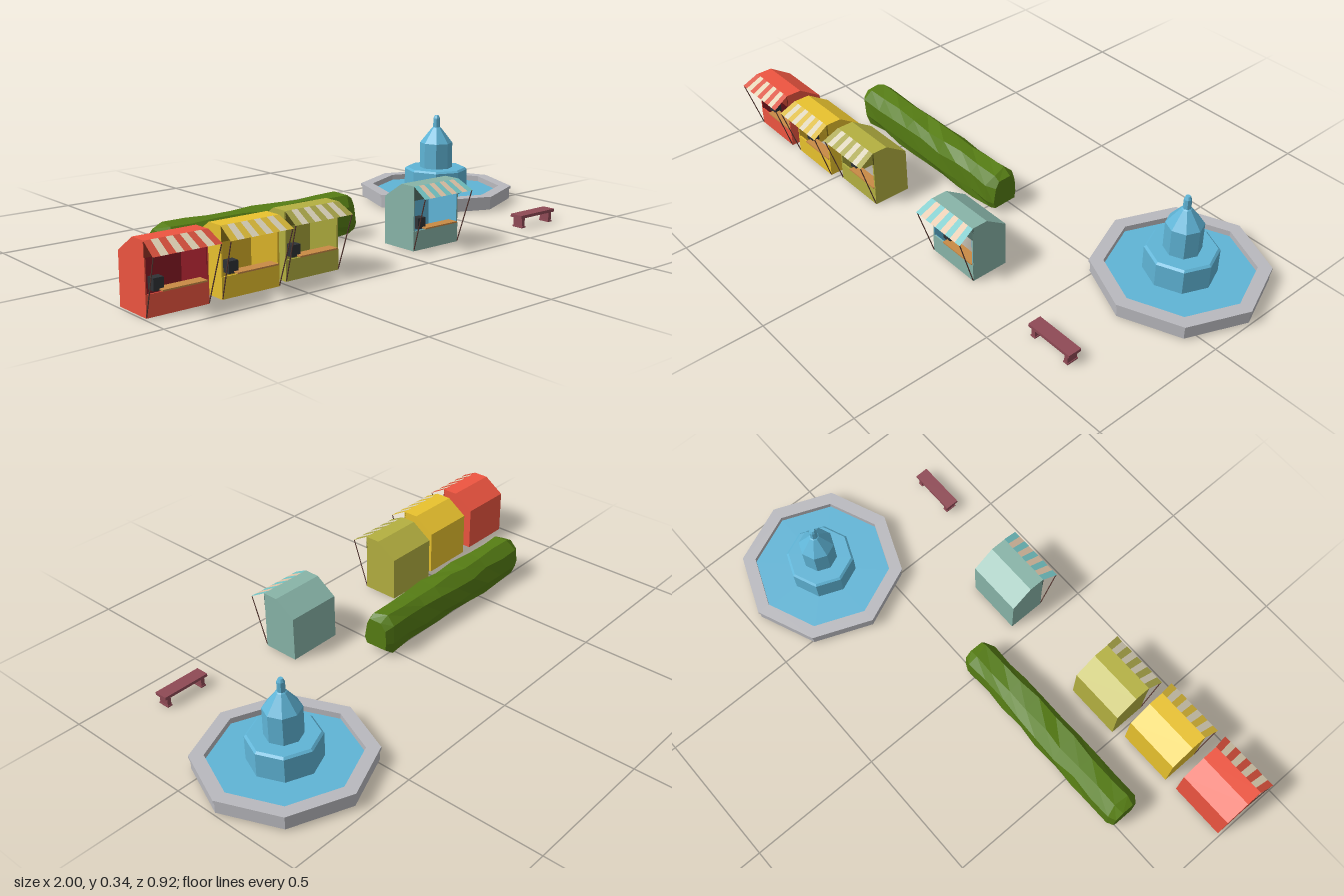
import * as THREE from 'three';

const mat = (color, double = false) => new THREE.MeshStandardMaterial({
  color, flatShading: true, side: double ? THREE.DoubleSide : THREE.FrontSide });

function add(parent, name, geometry, material, x = 0, y = 0, z = 0) {
  const mesh = new THREE.Mesh(geometry, material);
  mesh.name = name;
  mesh.position.set(x, y, z);
  parent.add(mesh);
  return mesh;
}

const box = (w, h, d) => new THREE.BoxGeometry(w, h, d);

// Extrudes a (z, y) outline along x, centred on x = 0
function extrudeX(points, width) {
  const shape = new THREE.Shape(points.map(p => new THREE.Vector2(...p)));
  return new THREE.ExtrudeGeometry(shape, { depth: width, bevelEnabled: false })
    .rotateY(-Math.PI / 2).translate(width / 2, 0, 0);
}

// Side outline of a stall, from roof front to back foot, moved inward by i
const outline = i => [[0, 0.222 - i], [-0.06, 0.222 - i], [-0.14 + i, 0.168 - 0.6 * i], [-0.14 + i, 0]];

// One layer of roof, back and side walls, open at the front and the bottom
function shell(parent, name, width, from, to, material) {
  add(parent, name + 'RoofAndBack', extrudeX([...outline(from), ...outline(to).reverse()], width - 2 * from), material);
  for (const s of [-1, 1]) {
    add(parent, name + 'Side', extrudeX([[0, 0], ...outline(from)], to - from), material,
      s * (width / 2 - (from + to) / 2));
  }
}

function makeStall(x, zFront, body, inside, front, stripe, pale) {
  const stall = new THREE.Group();
  stall.name = 'marketStall';
  stall.position.set(x, 0, zFront);
  const w = 0.21;
  const outer = mat(body), inner = mat(inside), wood = mat(0x5a3a34);
  shell(stall, 'outer', w, 0, 0.004, outer);
  shell(stall, 'lining', w, 0.004, 0.006, inner);
  add(stall, 'frontPanel', box(w, 0.068, 0.004), mat(front), 0, 0.034, -0.001);
  add(stall, 'frontPanelLining', box(w - 0.012, 0.068, 0.002), inner, 0, 0.034, -0.004);
  const shade = new THREE.Color(body).multiplyScalar(0.35);
  add(stall, 'header', box(w, 0.045, 0.005), mat(shade), 0, 0.196, -0.001);
  add(stall, 'counter', box(0.15, 0.005, 0.04), mat(0xc98a45), 0.025, 0.07, -0.016);
  add(stall, 'cashBox', box(0.034, 0.038, 0.03), mat(0x2f3236), -0.052, 0.086, -0.03);

  // Striped awning, flaring toward its front edge
  const count = 9, stripes = [mat(stripe, true), mat(pale, true)];
  for (let i = 0; i < count; i++) {
    const a = i / count - 0.5, b = (i + 1) / count - 0.5;
    const p = (t, out) => out ? [t * 0.228, 0.189, 0.061] : [t * 0.212, 0.222, 0];
    const g = new THREE.BufferGeometry();
    g.setAttribute('position', new THREE.Float32BufferAttribute(
      [p(a, 0), p(a, 1), p(b, 1), p(a, 0), p(b, 1), p(b, 0)].flat(), 3));
    g.computeVertexNormals();
    add(stall, 'awningStripe', g, stripes[i % 2]);
  }

  // Slanted awning poles
  for (const s of [-1, 1]) {
    const path = new THREE.LineCurve3(
      new THREE.Vector3(s * 0.104, 0.004, 0.002), new THREE.Vector3(s * 0.111, 0.189, 0.059));
    add(stall, 'awningPole', new THREE.TubeGeometry(path, 1, 0.002, 5), wood);
  }
  return stall;
}

function makeHedge() {
  let seed = 7;
  const rand = () => (seed = (seed * 16807) % 2147483647) / 2147483647 - 0.5;
  const section = [[0.05, 0.008], [0.062, 0.045], [0.06, 0.115], [0.035, 0.15],
    [-0.02, 0.152], [-0.056, 0.118], [-0.058, 0.05], [-0.046, 0.01]];
  const n = 11, rings = [];
  for (let i = 0; i < n; i++) {
    const end = i === 0 || i === n - 1;
    const k = end ? 0.8 : 1;
    const x = end ? (i ? 0.05 : -0.735) : -0.705 + 0.725 * (i - 1) / (n - 3);
    rings.push(section.map(([z, y]) => [
      x + (end ? 0 : rand() * 0.02),
      0.08 + (y - 0.08) * k + rand() * 0.01,
      0.033 + z * k + rand() * 0.012]));
  }
  const out = [], m = section.length;
  const centre = r => [r[0][0], 0.08, 0.033];
  for (let j = 0; j < m; j++) {
    const k = (j + 1) % m;
    for (let i = 0; i < n - 1; i++) {
      const [a, b, c, d] = [rings[i][j], rings[i][k], rings[i + 1][j], rings[i + 1][k]];
      out.push(a, c, b, b, c, d);
    }
    out.push(centre(rings[0]), rings[0][j], rings[0][k]);
    out.push(centre(rings[n - 1]), rings[n - 1][k], rings[n - 1][j]);
  }
  const g = new THREE.BufferGeometry();
  g.setAttribute('position', new THREE.Float32BufferAttribute(out.flat(), 3));
  g.computeVertexNormals();
  return g;
}

// Eight-sided turned form with corners on the axes
const lathe8 = points => new THREE.LatheGeometry(points.map(p => new THREE.Vector2(...p)), 8);

function makeFountain() {
  const fountain = new THREE.Group();
  fountain.name = 'fountain';
  fountain.position.set(0.7, 0, -0.164);
  add(fountain, 'basin', lathe8([[0, 0.006], [0.295, 0.006], [0.295, 0.046], [0.3, 0.046],
    [0.3, 0.057], [0.252, 0.057], [0.252, 0.02], [0, 0.02]]), mat(0xb9b9be));
  const blue = mat(0x5fb4d6);
  add(fountain, 'water', new THREE.CylinderGeometry(0.253, 0.253, 0.016, 8), blue, 0, 0.028, 0);
  add(fountain, 'pedestal', lathe8([[0.124, 0.03], [0.124, 0.123], [0.116, 0.13], [0, 0.13]]), blue);
  add(fountain, 'column', lathe8([[0.064, 0.128], [0.064, 0.23], [0.018, 0.289], [0.014, 0.292],
    [0.013, 0.327], [0.008, 0.338], [0, 0.338]]), blue);
  return fountain;
}

function makeBench() {
  const bench = new THREE.Group();
  bench.name = 'bench';
  bench.position.set(0.667, 0, 0.369);
  const wood = mat(0x8f4a55);
  add(bench, 'seat', box(0.184, 0.011, 0.05), wood, 0, 0.042, 0);
  for (const s of [-1, 1]) {
    add(bench, 'leg', box(0.015, 0.034, 0.04), wood, s * 0.074, 0.02, 0);
    add(bench, 'foot', box(0.02, 0.005, 0.044), wood, s * 0.074, 0.0025, 0);
  }
  return bench;
}

export function createModel() {
  const model = new THREE.Group();
  model.name = 'marketSquare';
  // x, front z, body, inside, front panel, awning stripe, pale stripe
  const stalls = [
    [-0.886, 0.394, 0xee5540, 0x8b1a25, 0xee5540, 0xd8503c, 0xe0d2b4],
    [-0.628, 0.389, 0xe9c22e, 0xd9b128, 0xe9c22e, 0xd8b838, 0xd8d0b8],
    [-0.376, 0.366, 0xb4b040, 0xa8a53a, 0xb4b040, 0xa8a448, 0xd8d0b8],
    [0.167, 0.364, 0x88b4a8, 0x5fb4d6, 0x88b4a8, 0x74c4c4, 0xe0c4a8],
  ];
  for (const s of stalls) model.add(makeStall(...s));
  add(model, 'hedge', makeHedge(), mat(0x567d14));
  model.add(makeFountain(), makeBench());
  return model;
}
